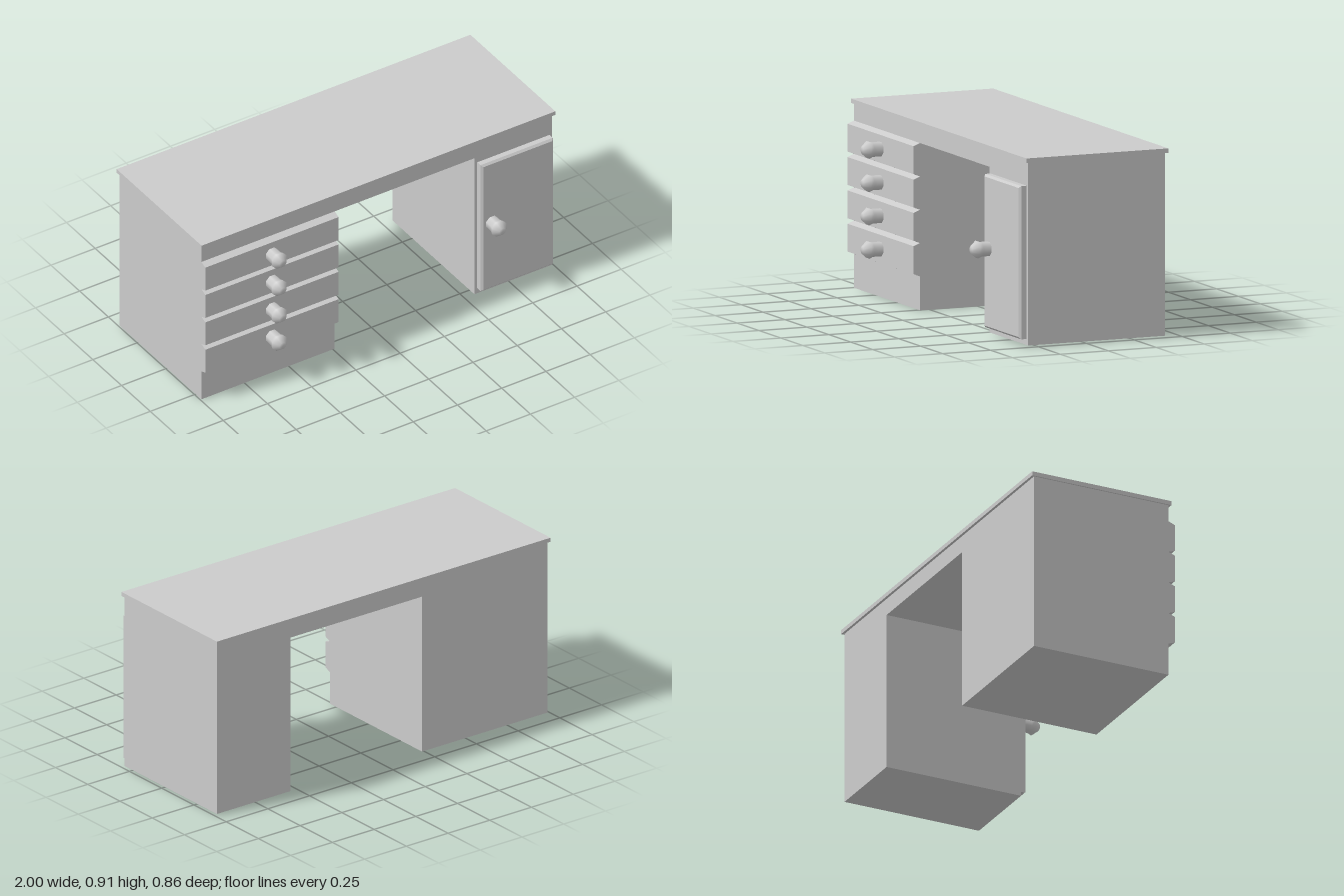
import * as THREE from 'three';

const material = new THREE.MeshStandardMaterial({ color: 0xcccccc });

function addMesh(parent, name, geometry, x = 0, y = 0, z = 0) {
  const mesh = new THREE.Mesh(geometry, material);
  mesh.name = name;
  mesh.position.set(x, y, z);
  parent.add(mesh);
  return mesh;
}

const polygon = (points) => new THREE.Shape(points.map(([x, y]) => new THREE.Vector2(x, y)));

// Turned knob: straight neck, flared head, blunt tip, pointing to +z
function knobGeometry() {
  const profile = [[0.036, -0.01], [0.036, 0.042], [0.044, 0.062], [0.019, 0.092], [0, 0.092]];
  return new THREE.LatheGeometry(profile.map(([r, h]) => new THREE.Vector2(r, h)), 8, Math.PI / 8)
    .rotateX(Math.PI / 2);
}

export function createModel() {
  const desk = new THREE.Group();
  desk.name = 'desk';

  // Carcass: two pedestals joined by a rail over the knee space
  const carcass = polygon([
    [-0.993, 0], [-0.24, 0], [-0.24, 0.803], [0.55, 0.803],
    [0.55, 0.008], [0.99, 0.008], [0.99, 0.89], [-0.993, 0.89],
  ]);
  addMesh(desk, 'carcass',
    new THREE.ExtrudeGeometry(carcass, { depth: 0.715, bevelEnabled: false }), 0, 0, -0.415);

  // Overhanging top
  addMesh(desk, 'tabletop', new THREE.BoxGeometry(2, 0.021, 0.74), 0, 0.8975, -0.058);

  // Drawer fronts with sloped upper and lower edges
  const drawerProfile = polygon([
    [-0.01, 0], [0, 0], [0.034, 0.013], [0.034, 0.147], [0, 0.16], [-0.01, 0.16],
  ]);
  const drawerGeometry = new THREE.ExtrudeGeometry(drawerProfile, { depth: 0.753, bevelEnabled: false })
    .rotateY(-Math.PI / 2);
  const knob = knobGeometry();
  for (let i = 0; i < 4; i++) {
    const drawer = new THREE.Group();
    drawer.name = `drawer${i + 1}`;
    drawer.position.set(0, 0.643 - i * 0.16, 0.3);
    addMesh(drawer, 'drawerFront', drawerGeometry, -0.24, 0, 0);
    addMesh(drawer, 'drawerKnob', knob, -0.617, 0.08, 0.038);
    desk.add(drawer);
  }

  // Cupboard door with a chamfered rim
  const door = new THREE.Group();
  door.name = 'door';
  const panel = polygon([[0.576, 0.047], [0.965, 0.047], [0.965, 0.763], [0.576, 0.763]]);
  const panelGeometry = new THREE.ExtrudeGeometry(panel, {
    depth: 0.03, bevelThickness: 0.01, bevelSize: 0.01, bevelSegments: 1,
  });
  addMesh(door, 'doorPanel', panelGeometry, 0, 0, 0.298);
  addMesh(door, 'doorKnob', knob, 0.625, 0.423, 0.338);
  desk.add(door);

  return desk;
}
